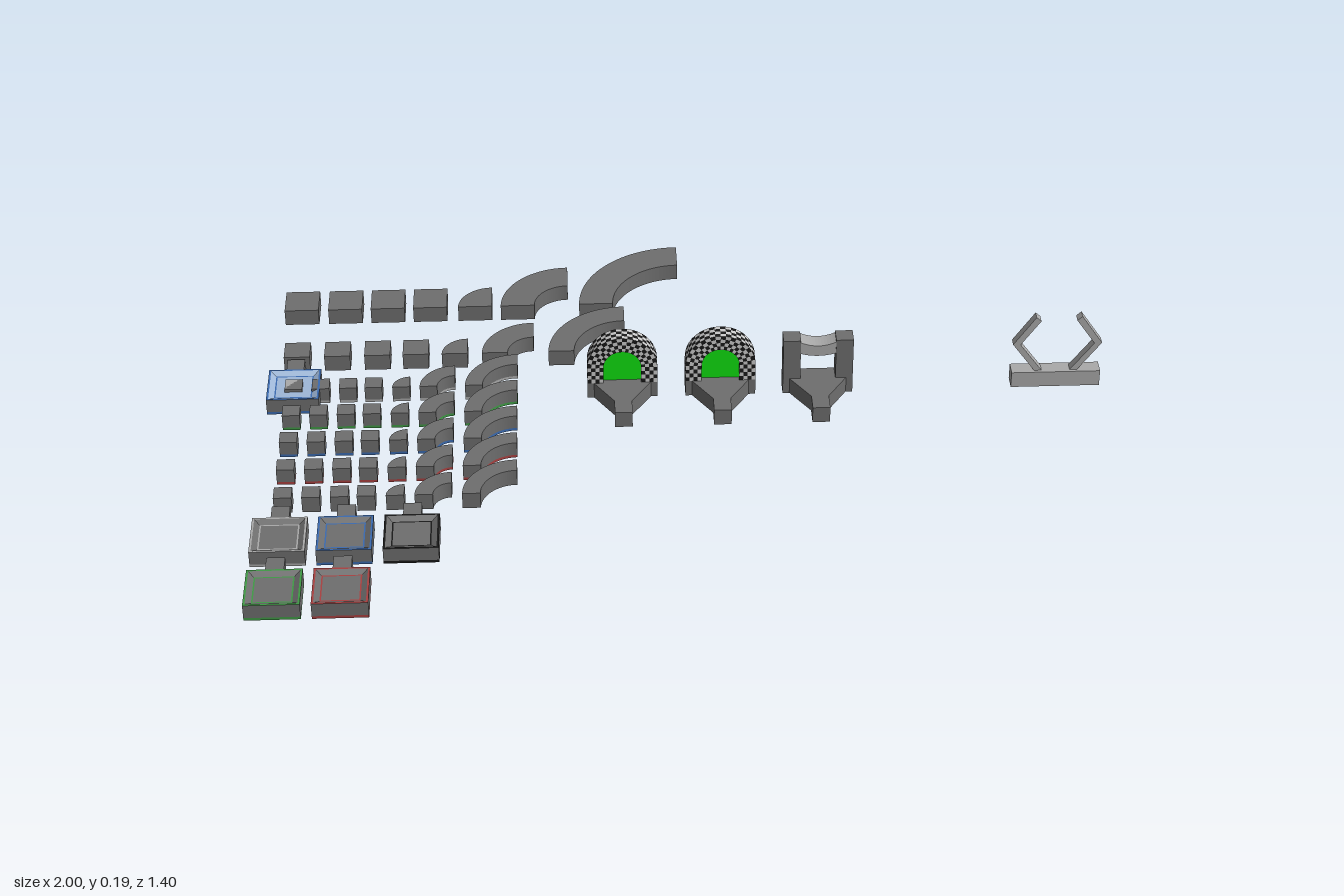
import * as THREE from 'three';

const W = 0.0417; // basic track width and slab height
const material = (color) => new THREE.MeshStandardMaterial({ color, flatShading: true });
const mats = {
  dark: material(0x6e6e6e), light: material(0xaaaaaa), black: material(0x181818), white: material(0xe0e0e0),
  red: material(0xa84040), blue: material(0x3a6ab0), green: material(0x3f9a45), sky: material(0x9fb8d8),
  glow: material(0x10e010),
};

function add(parent, name, geometry, mat, x = 0, y = 0, z = 0) {
  const mesh = new THREE.Mesh(geometry, mat);
  mesh.name = name;
  mesh.position.set(x, y, z);
  parent.add(mesh);
  return mesh;
}

function group(parent, name, x = 0, y = 0, z = 0) {
  const g = new THREE.Group();
  g.name = name;
  g.position.set(x, y, z);
  parent.add(g);
  return g;
}

// Flat slab from a plan outline; outline y points to the back (-z)
const slab = (shape, height) =>
  new THREE.ExtrudeGeometry(shape, { depth: height, bevelEnabled: false, curveSegments: 14 }).rotateX(-Math.PI / 2);

const polygon = (points) => new THREE.Shape(points.map(([x, y]) => new THREE.Vector2(x, y)));

// Slab with an optional coloured strip along its bottom edge
function stripedSlab(parent, name, shape, stripe, x, z) {
  const h = stripe ? 0.007 : 0;
  if (stripe) add(parent, name + 'Strip', slab(shape, h), stripe, x, 0, z);
  add(parent, name, slab(shape, W - h), mats.dark, x, h, z);
}

function squareShape(w) {
  return polygon([[-w / 2, 0], [w / 2, 0], [w / 2, w], [-w / 2, w]]);
}

// Quarter ring bending from the left end to the back end
function quarterShape(inner, outer) {
  const s = new THREE.Shape();
  s.moveTo(0, inner);
  s.lineTo(0, outer);
  s.absarc(0, 0, outer, Math.PI / 2, Math.PI, false);
  s.lineTo(-inner, 0);
  if (inner > 0) s.absarc(0, 0, inner, Math.PI, Math.PI / 2, true);
  return s;
}

// One row of four straight tiles and three curves of growing radius
function trackRow(parent, w, z, tiles, curveEnds, stripe) {
  const row = group(parent, 'trackRow', 0, 0, z);
  tiles.forEach((x) => stripedSlab(row, 'straightTile', squareShape(w), stripe, x, 0));
  curveEnds.forEach((x, i) => stripedSlab(row, 'curveTile', quarterShape(i * w, (i + 1) * w), stripe, x, 0));
}

// Four-sided turned profile, given as [half width, height]
function squareLathe(profile) {
  const pts = profile.map(([r, y]) => new THREE.Vector2(r * Math.SQRT2, y));
  const g = new THREE.LatheGeometry(pts, 4, Math.PI / 4).toNonIndexed();
  g.computeVertexNormals();
  return g;
}

// Square station pad with a sloping rim, recessed floor and connector tab
function pad(parent, x, z, rim, floor = mats.dark, slope = mats.dark) {
  const p = group(parent, 'stationPad', x, 0, z);
  const R = 0.0625;
  add(p, 'padBottomStrip', squareLathe([[0, 0], [R, 0], [R, 0.007]]), rim);
  add(p, 'padBody', squareLathe([[R, 0.007], [R, W]]), mats.dark);
  add(p, 'padRim', squareLathe([[R, W], [R - 0.005, W]]), rim);
  add(p, 'padSlope', squareLathe([[R - 0.005, W], [0.045, 0.034]]), slope);
  add(p, 'padInnerLine', squareLathe([[0.045, 0.034], [0.0417, 0.034]]), rim);
  add(p, 'padFloor', squareLathe([[0.0417, 0.034], [0, 0.034]]), floor);
  add(p, 'padTab', new THREE.BoxGeometry(W, W, W), mats.dark, 0, W / 2, -R - W / 2);
  return p;
}

// Base shared by the gates: cross bar, taper and connector tab
function gateBase(parent) {
  const shape = polygon([[-0.084, W / 2], [-0.084, -W / 2], [-0.068, -W / 2], [-W / 2, -0.095], [-W / 2, -0.143],
    [W / 2, -0.143], [W / 2, -0.095], [0.068, -W / 2], [0.084, -W / 2], [0.084, W / 2]]);
  add(parent, 'gateBase', slab(shape, W), mats.dark);
}

// Checkered arch: a square section swept up, over and down, split in two colours
function checkeredArch(parent, inner, outer, rise) {
  const corners = [[outer, W / 2], [outer, -W / 2], [inner, -W / 2], [inner, W / 2]];
  const sub = 4, leg = 4, arc = 20, steps = leg * 2 + arc;
  const point = (u, v) => {
    const k = Math.floor(u / sub) % 4, f = (u % sub) / sub;
    const [r0, z0] = corners[k], [r1, z1] = corners[(k + 1) % 4];
    const r = r0 + (r1 - r0) * f, z = z0 + (z1 - z0) * f;
    if (v <= leg) return [r, W + rise * v / leg, z];
    if (v >= leg + arc) return [-r, W + rise * (steps - v) / leg, z];
    const a = Math.PI * (v - leg) / arc;
    return [r * Math.cos(a), W + rise + r * Math.sin(a), z];
  };
  const data = [[], []];
  for (let v = 0; v < steps; v++) {
    for (let u = 0; u < sub * 4; u++) {
      const a = point(u, v), b = point(u + 1, v), c = point(u + 1, v + 1), d = point(u, v + 1);
      data[(u + v) % 2].push(...a, ...b, ...c, ...a, ...c, ...d);
    }
  }
  data.forEach((positions, i) => {
    const g = new THREE.BufferGeometry();
    g.setAttribute('position', new THREE.Float32BufferAttribute(positions, 3));
    g.computeVertexNormals();
    add(parent, i ? 'archLightChecks' : 'archDarkChecks', g, i ? mats.white : mats.black);
  });
}

function archGate(parent, x, z) {
  const gate = group(parent, 'archGate', x, 0, z);
  gateBase(gate);
  checkeredArch(gate, 0.045, 0.084, 0.044);
  const s = new THREE.Shape();
  s.moveTo(-0.045, W);
  s.lineTo(0.045, W);
  s.absarc(0, W + 0.044, 0.045, 0, Math.PI, false);
  add(gate, 'portalPanel', new THREE.ExtrudeGeometry(s, { depth: 0.016, bevelEnabled: false }), mats.glow, 0, 0, -0.008);
}

function postGate(parent, x, z) {
  const gate = group(parent, 'postGate', x, 0, z);
  gateBase(gate);
  for (const side of [-1, 1]) {
    add(gate, 'gatePost', new THREE.BoxGeometry(W, 0.15 - W, W), mats.dark, side * 0.063, (0.15 + W) / 2, 0);
  }
  // sagging lintel between the posts
  const s = new THREE.Shape();
  s.moveTo(-0.042, 0.113);
  s.quadraticCurveTo(0, 0.1, 0.042, 0.113);
  s.lineTo(0.042, 0.145);
  s.quadraticCurveTo(0, 0.125, -0.042, 0.145);
  add(gate, 'gateLintel', new THREE.ExtrudeGeometry(s, { depth: W, bevelEnabled: false }), mats.light, 0, 0, -W / 2);
}

// Bar with two bent prongs
function prongStand(parent, x, z) {
  const stand = group(parent, 'prongStand', x, 0, z);
  add(stand, 'standBar', new THREE.BoxGeometry(0.214, W, 0.038), mats.light, 0, W / 2, 0);
  for (const side of [-1, 1]) {
    const pts = [[0.034, W], [0.052, W], [0.107, 0.118], [0.055, 0.195], [0.043, 0.184], [0.089, 0.117]];
    const outline = polygon(pts.map(([px, py]) => [side * px, py]));
    add(stand, 'prong', new THREE.ExtrudeGeometry(outline, { depth: 0.022, bevelEnabled: false }), mats.light, 0, 0, -0.011);
  }
}

export function createModel() {
  const model = new THREE.Group();
  model.name = 'trackPieceSet';

  // wide, medium and narrow track rows
  trackRow(model, 0.0834, -0.45, [-0.9375, -0.83, -0.725, -0.62], [-0.467, -0.278, 0]);
  trackRow(model, 0.0625, -0.247, [-0.9375, -0.84, -0.743, -0.65], [-0.524, -0.364, -0.14]);
  [mats.light, mats.green, mats.blue, mats.red, null].forEach((stripe, i) => {
    trackRow(model, W, -0.112 + i * 0.107, [-0.9375, -0.873, -0.808, -0.747], [-0.66, -0.553, -0.403], stripe);
  });

  // station pads
  pad(model, -0.9375, 0.45, mats.light);
  pad(model, -0.7885, 0.45, mats.blue);
  pad(model, -0.639, 0.45, mats.black);
  pad(model, -0.9375, 0.6375, mats.green);
  pad(model, -0.7885, 0.6375, mats.red);
  const bright = pad(model, -0.9375, -0.133, mats.blue, mats.sky, mats.sky);
  add(bright, 'padCentreBlock', new THREE.BoxGeometry(W, 0.008, W), mats.light, 0, 0.0377, 0);

  // gates and stand
  archGate(model, -0.151, -0.128);
  archGate(model, 0.084, -0.128);
  postGate(model, 0.318, -0.128);
  prongStand(model, 0.893, -0.128);
  return model;
}
